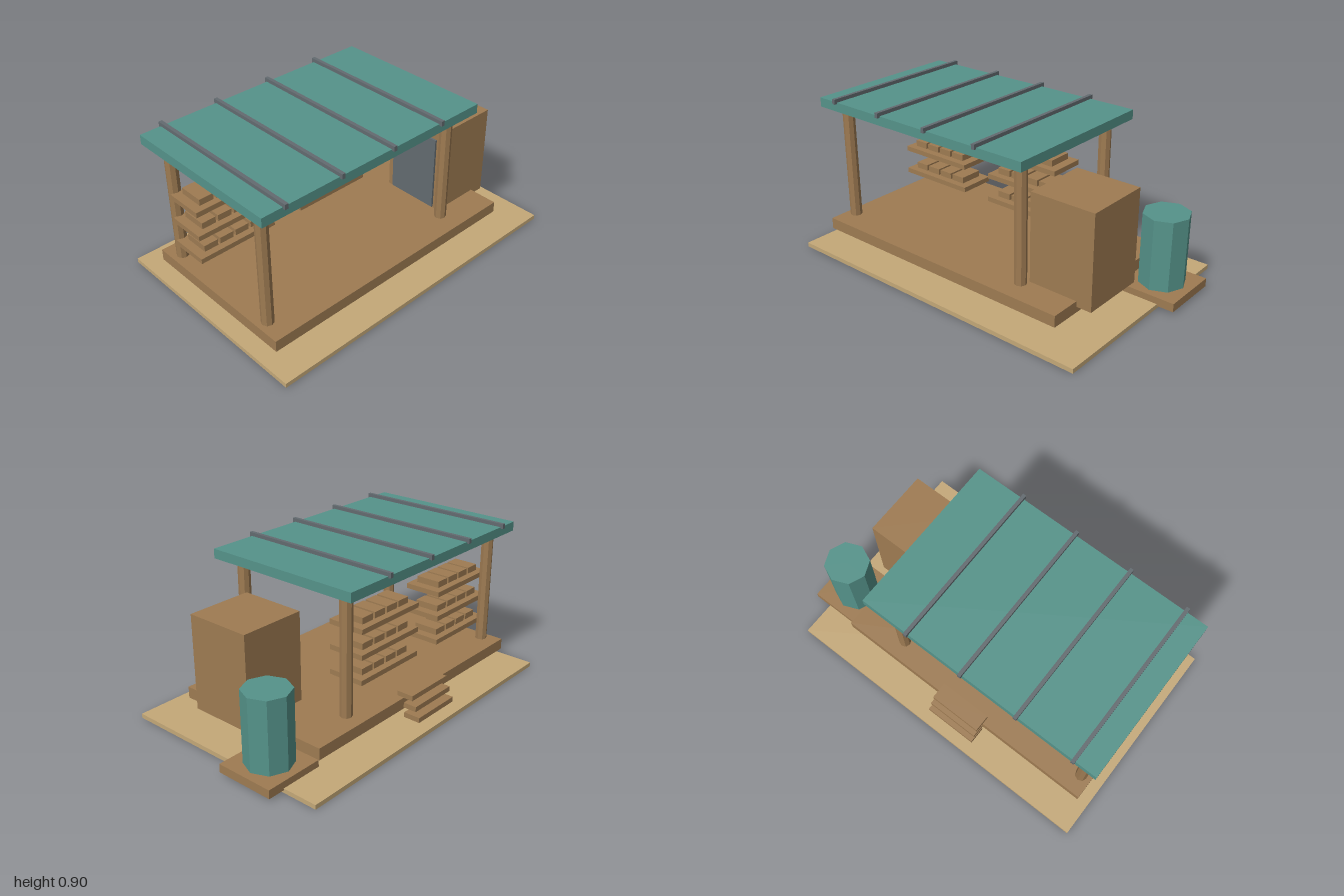
import * as THREE from 'three';

const material = (color) => new THREE.MeshStandardMaterial({ color, flatShading: true });

export function createModel() {
  const model = new THREE.Group();
  model.name = 'marketShelter';
  const sand = material(0xc4a878);
  const wood = material(0x9e7b52);
  const teal = material(0x55938a);
  const slate = material(0x636b70);

  const add = (name, geometry, mat, x, y, z, parent = model) => {
    const mesh = new THREE.Mesh(geometry, mat);
    mesh.name = name;
    mesh.position.set(x, y, z);
    parent.add(mesh);
    return mesh;
  };
  // Box given by its extents along each axis
  const box = (name, mat, [x0, x1], [y0, y1], [z0, z1], parent) =>
    add(name, new THREE.BoxGeometry(x1 - x0, y1 - y0, z1 - z0), mat,
      (x0 + x1) / 2, (y0 + y1) / 2, (z0 + z1) / 2, parent);

  // Ground and raised floor
  box('ground', sand, [-1, 0.905], [0, 0.025], [-0.63, 0.63]);
  box('platform', wood, [-0.937, 0.69], [0.086, 0.151], [-0.46, 0.489]);

  // Corner posts
  for (const x of [-0.877, 0.37])
    for (const z of [-0.352, 0.356])
      add('post', new THREE.CylinderGeometry(0.034, 0.034, 0.68, 8), wood, x, 0.488, z);

  // Flat roof with raised seams
  box('roof', teal, [-0.963, 0.466], [0.826, 0.879], [-0.463, 0.475]);
  for (let i = 0; i < 4; i++) {
    const x = -0.833 + i * 0.338;
    box('roofSeam', slate, [x - 0.01, x + 0.01], [0.871, 0.899], [-0.478, 0.491]);
  }

  // Two shelf racks, three tiers each, with a row of four crates per tier
  for (const cx of [-0.678, -0.018]) {
    const rack = new THREE.Group();
    rack.name = 'shelfRack';
    model.add(rack);
    for (let tier = 0; tier < 3; tier++) {
      const y = 0.25 + tier * 0.1445;
      box('shelf', wood, [cx - 0.238, cx + 0.238], [y, y + 0.029], [-0.329, -0.111], rack);
      for (let i = 0; i < 4; i++) {
        const x = cx + (i - 1.5) * 0.099;
        box('crate', wood, [x - 0.042, x + 0.042], [y + 0.032, y + 0.068], [-0.292, -0.147], rack);
      }
    }
  }

  // Storage cabinet with a panel on its inner side
  box('cabinet', wood, [0.397, 0.778], [0.12, 0.655], [-0.068, 0.315]);
  box('cabinetPanel', slate, [0.385, 0.4], [0.16, 0.6], [-0.03, 0.277]);

  // Water tank on its slab
  box('tankBase', wood, [0.663, 1], [0.015, 0.063], [-0.43, -0.094]);
  add('tank', new THREE.CylinderGeometry(0.128, 0.128, 0.4, 8), teal, 0.829, 0.263, -0.262);

  // Rear steps
  for (let i = 0; i < 3; i++) {
    const y = 0.037 + i * 0.056;
    const z = -0.563 + i * 0.0245;
    box('step', wood, [-0.279, 0.029], [y, y + 0.029], [z, z + 0.098]);
  }

  return model;
}
